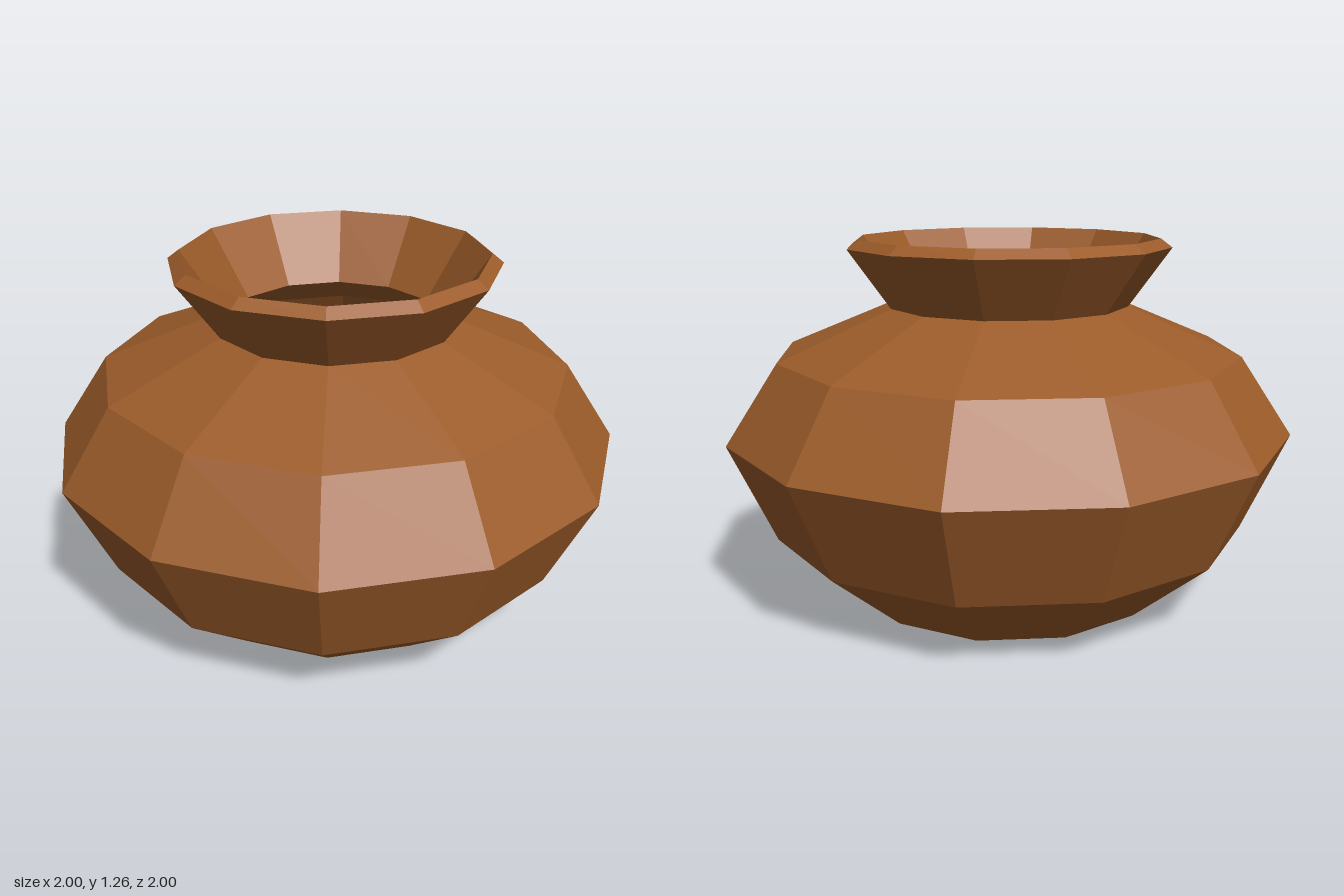
import * as THREE from 'three';

const SIDES = 12;

export function createModel() {
  const group = new THREE.Group();
  group.name = 'pot';

  const clay = new THREE.MeshStandardMaterial({ color: 0x9c5c2a, flatShading: true });

  // Turned shell from [radius, height] pairs
  const turn = (name, profile) => {
    const points = profile.map(([r, y]) => new THREE.Vector2(r, y));
    const mesh = new THREE.Mesh(new THREE.LatheGeometry(points, SIDES), clay);
    mesh.name = name;
    group.add(mesh);
  };

  // Flat base, faceted belly and shoulder
  turn('body', [[0, 0], [0.565, 0], [0.845, 0.245], [1, 0.595], [0.82, 0.865], [0.425, 1.03]]);

  // Flared neck, bevelled lip and inner throat
  turn('neck', [[0.425, 1.03], [0.57, 1.235], [0.53, 1.265], [0.375, 1.03]]);

  // Hollow inside, running from the throat down to the floor
  turn('interior', [[0.375, 1.03], [0.78, 0.83], [0.94, 0.595], [0.8, 0.27], [0.54, 0.05], [0, 0.05]]);

  return group;
}
